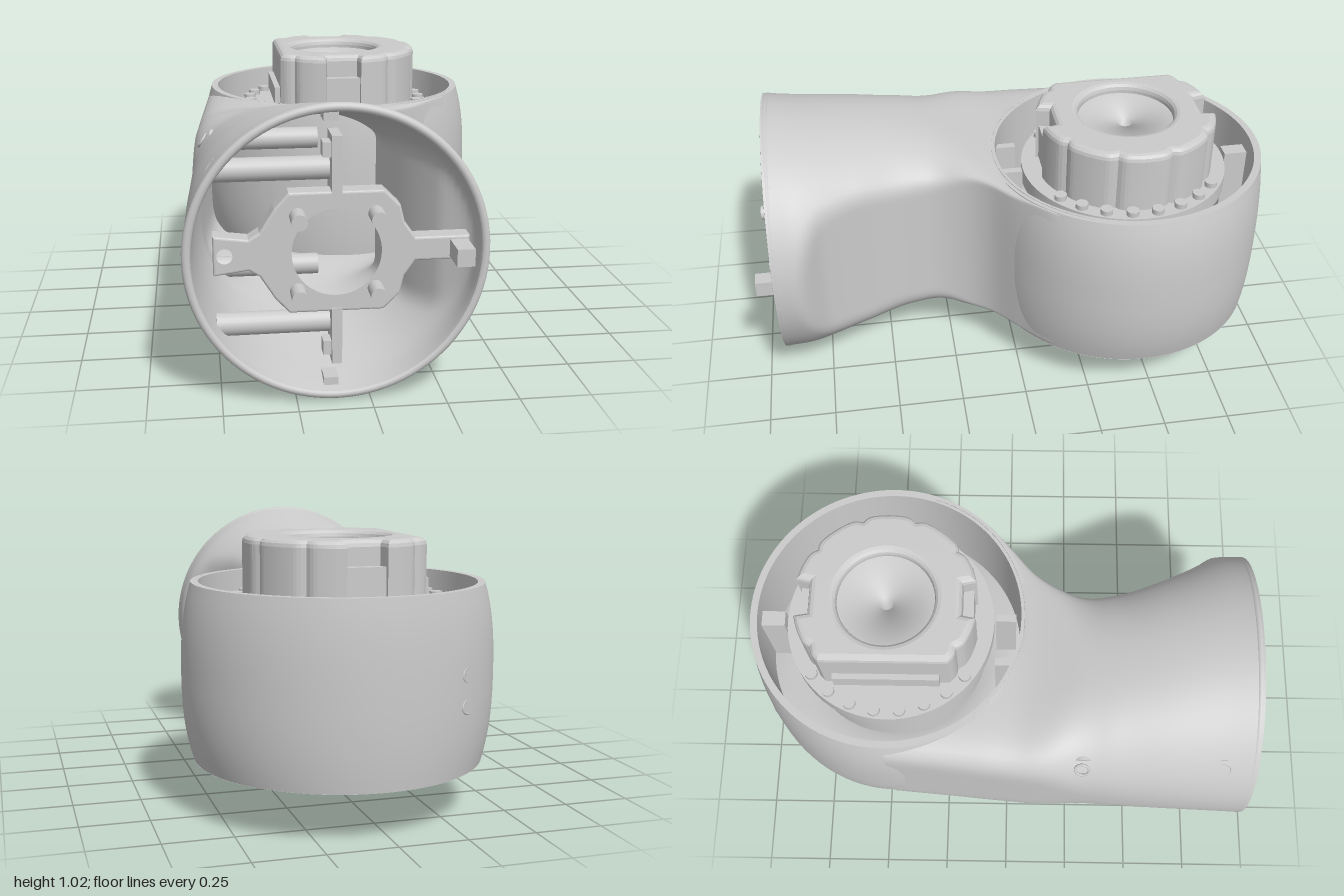
import * as THREE from 'three';

const grey = (side = THREE.FrontSide) => new THREE.MeshStandardMaterial({ color: 0xcccccc, side });
const CX = 0.045, CZ = -0.455, MY = 0.5125; // joint axis and mid height
const FX = -0.11; // front opening centre

function add(parent, name, geo, x = 0, y = 0, z = 0, mat = grey()) {
  const m = new THREE.Mesh(geo, mat);
  m.name = name;
  m.position.set(x, y, z);
  parent.add(m);
  return m;
}

// smooth 1D interpolation through [z, value] points
function ease(pts) {
  const slope = (i) => {
    const a = pts[Math.max(0, i - 1)], b = pts[Math.min(pts.length - 1, i + 1)];
    return (b[1] - a[1]) / (b[0] - a[0]);
  };
  return (z) => {
    let i = 0;
    while (i < pts.length - 2 && z > pts[i + 1][0]) i++;
    const [z0, v0] = pts[i], [z1, v1] = pts[i + 1], d = z1 - z0;
    const t = (z - z0) / d, u = 1 - t;
    return (1 + 2 * t) * u * u * v0 + t * u * u * d * slope(i)
      + t * t * (3 - 2 * t) * v1 - t * t * u * d * slope(i + 1);
  };
}

const leftEdge = ease([[-0.46, -0.515], [-0.2, -0.54], [0.1, -0.57], [0.5, -0.6], [0.925, -0.62]]);
const rightEdge = ease([[-0.46, 0.7], [-0.1, 0.6], [0.1, 0.33], [0.25, 0.235], [0.4, 0.235], [0.6, 0.31], [0.8, 0.392], [0.925, 0.4]]);
const scoop = ease([[-0.46, 0.608], [-0.3, 0.582], [-0.12, 0.488], [0, 0.35], [0.1, 0.225], [0.2, 0.165],
  [0.33, 0.145], [0.55, 0.2], [0.73, 0.29], [0.79, 0.355], [0.84, 0.41], [0.925, 0.47]]);
const halfHeight = ease([[-0.46, 0.3225], [-0.1, 0.3225], [0.07, 0.3235], [0.3, 0.38], [0.6, 0.447], [0.925, 0.51]]);
const squareness = ease([[-0.46, 9], [0.07, 6], [0.25, 3], [0.4, 2.4], [0.6, 2.2], [0.925, 2]]);

function softMin(a, b, k) {
  const h = Math.max(k - Math.abs(a - b), 0) / k;
  return Math.min(a, b) - h * h * k / 4;
}

// arm shell: round at the front, squarer toward the joint, scooped on one side,
// trimmed where it meets the joint bore
function armShell(inset) {
  const N = 144, M = 80, R = 0.517, pos = [], idx = [];
  for (let i = 0; i <= M; i++) {
    const z = 0.925 - (0.925 - CZ) * i / M;
    const l = leftEdge(z) + inset, r = rightEdge(z) - inset;
    const h = halfHeight(z) - inset, n = squareness(z);
    const bulge = 0.038 * (1 - THREE.MathUtils.smoothstep(z, -0.2, 0.12));
    for (let j = 0; j < N; j++) {
      const t = j / N * Math.PI * 2, c = Math.cos(t), s = Math.sin(t);
      const k = 1 / Math.pow(Math.abs(c) ** n + Math.abs(s) ** n, 1 / n);
      const cut = scoop(z) - inset - bulge * Math.abs(s * k) ** 2.6;
      const x = softMin((l + r) / 2 + (r - l) / 2 * c * k, cut, 0.03);
      const bore = CZ + Math.sqrt(Math.max(0, R * R - (x - CX) ** 2));
      pos.push(x, MY + 0.0025 + h * s * k, Math.max(z, bore));
      if (i < M) {
        const a = i * N + j, b = i * N + (j + 1) % N;
        idx.push(a, a + N, b, b, a + N, b + N);
      }
    }
  }
  const g = new THREE.BufferGeometry();
  g.setAttribute('position', new THREE.Float32BufferAttribute(pos, 3));
  g.setIndex(idx);
  g.computeVertexNormals();
  return g;
}

// disc, plug or bolt along the joint axis
const disc = (p, name, r, y0, y1, x = CX, z = CZ, sides = 48) =>
  add(p, name, new THREE.CylinderGeometry(r, r, y1 - y0, sides), x, (y0 + y1) / 2, z);

// circle of bolts around the joint axis
function boltCircle(p, name, count, ringR, r, y0, y1, skip = () => false) {
  for (let i = 0; i < count; i++) {
    const a = (i + 0.5) / count * Math.PI * 2;
    if (!skip(a)) disc(p, name, r, y0, y1, CX + ringR * Math.cos(a), CZ + ringR * Math.sin(a), 12);
  }
}

function extrude(shape, depth, bevel) {
  return new THREE.ExtrudeGeometry(shape, { depth, bevelSize: bevel, bevelThickness: bevel,
    bevelSegments: 3, curveSegments: 32 });
}

function lathe(points) {
  return new THREE.LatheGeometry(points.map(([r, y]) => new THREE.Vector2(r, y)), 96);
}

// joint ring wall, bulging more to the sides than to the back
function ringWall() {
  const g = lathe(Array.from({ length: 17 }, (_, i) => [0.53, MY + 0.3225 * (i / 8 - 1)]));
  const p = g.attributes.position;
  for (let i = 0; i < p.count; i++) {
    const c = p.getX(i) / 0.53, t = Math.abs(p.getY(i) - MY) / 0.3225;
    const k = 1 + (0.015 + 0.025 * c * c) * (1 - t ** 2.6) / 0.53;
    p.setX(i, p.getX(i) * k);
    p.setZ(i, p.getZ(i) * k);
  }
  g.computeVertexNormals();
  return g;
}

function buildHousing(g) {
  add(g, 'armShell', armShell(0));
  add(g, 'armLining', armShell(0.03), 0, 0, 0, grey(THREE.BackSide));
  add(g, 'frontLip', new THREE.TorusGeometry(0.4945, 0.016, 12, 96), FX, 0.515, 0.911);
  add(g, 'jointRing', ringWall(), CX, 0, CZ);
  add(g, 'jointBore', lathe([[0.505, 0.835], [0.505, 0.19]]), CX, 0, CZ, grey(THREE.DoubleSide));
  for (const y of [0.19, 0.835]) {
    const rim = add(g, 'jointRim', new THREE.RingGeometry(0.504, 0.531, 96), CX, y, CZ, grey(THREE.DoubleSide));
    rim.rotation.x = -Math.PI / 2;
  }
  add(g, 'boreLedge', lathe([[0.36, 0.4], [0.505, 0.4], [0.505, 0.46], [0.36, 0.46], [0.36, 0.4]]), CX, 0, CZ);
  // locating tabs in the bore
  add(g, 'boreTab', new THREE.BoxGeometry(0.06, 0.5, 0.09), CX, 0.52, -0.91);
  for (const x of [-0.12, 0.06]) add(g, 'boreTab', new THREE.BoxGeometry(0.03, 0.5, 0.08), x, 0.52, -0.01);
  // screw hole rims on the arm and ring, with screw bosses inside the arm
  const rimAt = (x, y, z, nx, ny, nz) => {
    const m = add(g, 'screwHoleRim', new THREE.TorusGeometry(0.026, 0.005, 8, 24), x, y, z);
    m.lookAt(x + nx, y + ny, z + nz);
    return m;
  };
  for (const [x, dy, z] of [[-0.538, 0.25, 0.28], [-0.53, 0.27, 0.8]])
    for (const s of [1, -1]) {
      rimAt(x, 0.515 + s * dy, z, -0.85, s * 0.52, -0.1);
      add(g, 'screwBoss', new THREE.CylinderGeometry(0.04, 0.04, 0.4, 24), -0.31, 0.515 + s * dy, z)
        .rotation.z = Math.PI / 2;
    }
  for (const y of [0.44, 0.55]) rimAt(CX - 0.329, y, CZ - 0.439, -0.6, 0, -0.8).scale.x = 1.5;
}

function buildActuator(g) {
  disc(g, 'motorBody', 0.365, 0.2, 0.72);
  disc(g, 'topFlange', 0.4, 0.7, 0.765, CX, CZ, 64);
  boltCircle(g, 'flangeBolt', 24, 0.368, 0.024, 0.76, 0.785, (a) => Math.abs(Math.sin(a)) > 0.88);
  // cap with shallow side grooves, front and back notches and one flat side
  const cap = new THREE.Shape(), N = 240;
  for (let i = 0; i < N; i++) {
    const a = i / N * Math.PI * 2;
    const r = 0.319 - 0.016 * Math.max(0, -Math.cos(a * 10)) ** 4;
    const x = Math.max(-0.225, r * Math.cos(a)), y = r * Math.sin(a);
    const lim = Math.abs(x) < 0.085 ? 0.26 : 1;
    cap[i ? 'lineTo' : 'moveTo'](x, THREE.MathUtils.clamp(y, -lim, lim));
  }
  cap.holes.push(new THREE.Path().absarc(0, 0, 0.208, 0, Math.PI * 2, true));
  add(g, 'motorCap', extrude(cap, 0.215, 0.025), CX, 0.76, CZ).rotation.x = -Math.PI / 2;
  // dished cover with centre bore
  add(g, 'coverDish', lathe([[0.2, 0.965], [0.026, 0.935], [0.026, 0.8]]), CX, 0, CZ, grey(THREE.DoubleSide));
  for (const s of [1, -1]) add(g, 'notchFloor', new THREE.BoxGeometry(0.2, 0.14, 0.08), CX, 0.84, CZ + s * 0.285);
  add(g, 'connectorBar', new THREE.BoxGeometry(0.035, 0.07, 0.4), -0.21, 0.82, CZ);
  // output side underneath
  disc(g, 'outputFlange', 0.4, 0.168, 0.2, CX, CZ, 64);
  add(g, 'outputRing', new THREE.TorusGeometry(0.27, 0.012, 8, 64), CX, 0.168, CZ).rotation.x = Math.PI / 2;
  boltCircle(g, 'outerBolt', 16, 0.365, 0.024, 0.158, 0.18);
  boltCircle(g, 'outputBolt', 8, 0.19, 0.034, 0.132, 0.18);
  disc(g, 'outputHub', 0.105, 0.125, 0.18);
  boltCircle(g, 'hubBolt', 6, 0.07, 0.018, 0.117, 0.13);
}

function buildBracket(g) {
  const b = new THREE.Group();
  b.name = 'frontBracket';
  b.position.set(FX, 0.515, 0);
  g.add(b);
  // plate with two arms, a round opening and a hole in the flared end
  const outline = [[0.22, 0.09], [0.26, 0.033], [0.44, 0.033], [0.44, -0.033], [0.26, -0.033], [0.22, -0.09],
    [0.205, -0.15], [0.155, -0.2], [-0.155, -0.2], [-0.2, -0.15], [-0.25, -0.07], [-0.29, -0.045], [-0.4, -0.06],
    [-0.4, 0.06], [-0.29, 0.045], [-0.25, 0.07], [-0.2, 0.15], [-0.155, 0.2], [0.155, 0.2], [0.205, 0.15]];
  const plate = new THREE.Shape(outline.map(([x, y]) => new THREE.Vector2(x, y)));
  plate.holes.push(new THREE.Path().absarc(0, 0, 0.15, 0, Math.PI * 2, true),
    new THREE.Path().absarc(-0.37, 0, 0.026, 0, Math.PI * 2, true));
  add(b, 'plate', extrude(plate, 0.06, 0.008), 0, 0, 0.815);
  for (const sx of [1, -1]) for (const sy of [1, -1])
    add(b, 'peg', new THREE.CylinderGeometry(0.027, 0.027, 0.1, 24), sx * 0.13, sy * 0.13, 0.915)
      .rotation.x = Math.PI / 2;
  for (const s of [1, -1]) {
    add(b, 'rib', new THREE.BoxGeometry(0.034, 0.2, 0.12), 0, s * 0.295, 0.83);
    add(b, 'ribBoss', new THREE.BoxGeometry(0.03, 0.05, 0.06), -0.03, s * 0.345, 0.84);
    add(b, 'seamTab', new THREE.BoxGeometry(0.05, 0.03, 0.08), -0.02, s * 0.46, 0.85);
  }
  // keyed tip
  add(b, 'locatingKey', new THREE.BoxGeometry(0.06, 0.06, 0.16), 0.41, 0, 0.915);
}

export function createModel() {
  const model = new THREE.Group();
  for (const [name, build] of [['housing', buildHousing], ['actuator', buildActuator], ['bracket', buildBracket]]) {
    const part = new THREE.Group();
    part.name = name;
    build(part);
    model.add(part);
  }
  return model;
}
